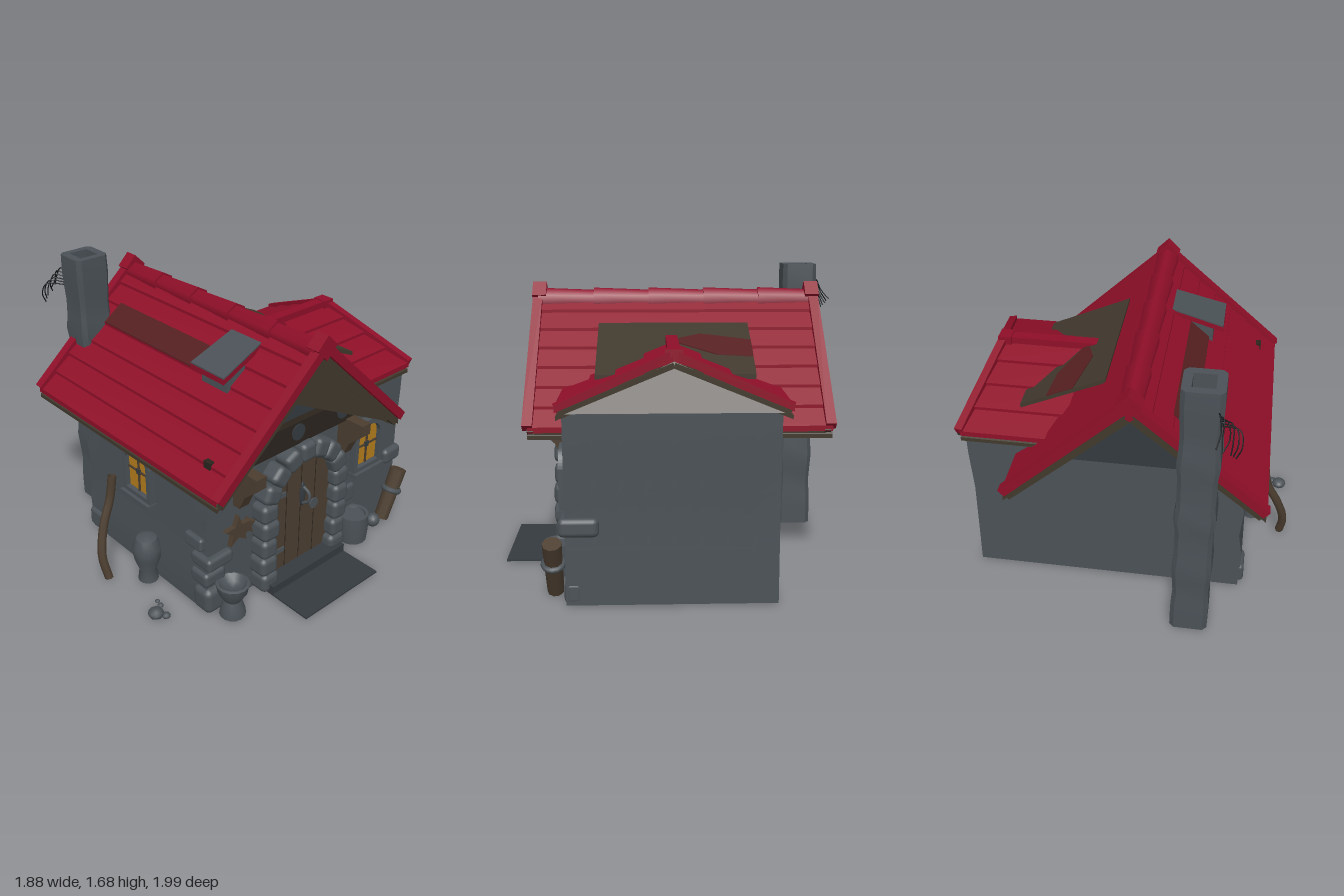
import * as THREE from 'three';
import { toCreasedNormals } from 'three/addons/utils/BufferGeometryUtils.js';
import { RoundedBoxGeometry } from 'three/addons/geometries/RoundedBoxGeometry.js';
import { ConvexGeometry } from 'three/addons/geometries/ConvexGeometry.js';

const V = (x, y, z) => new THREE.Vector3(x, y, z);
const P = (x, y) => new THREE.Vector2(x, y);

function material(name, color) {
  const m = new THREE.MeshStandardMaterial({ color, side: THREE.DoubleSide });
  m.name = name;
  return m;
}

export function createModel() {
  const model = new THREE.Group();
  model.name = 'cottage';
  const stone = material('stone grey', 0x4a5156);
  const darkStone = material('dark stone', 0x343a3f);
  const red = material('roof red', 0x8e0f28);
  const wood = material('brown wood', 0x4c3e30);
  const eaveWood = material('eave wood', 0x40382c);
  const darkWood = material('dark wood', 0x2a241d);
  const gold = material('window gold', 0xb47c1c);
  const stain = material('stained roof', 0x561f20);
  const black = material('twig black', 0x15181a);

  let seed = 7;
  const rnd = (a = 1) => {
    seed = (seed * 16807) % 2147483647;
    return (seed / 2147483647 - 0.5) * 2 * a;
  };
  const add = (name, geo, mat, x = 0, y = 0, z = 0, parent = model) => {
    const m = new THREE.Mesh(geo, mat);
    m.name = name;
    m.position.set(x, y, z);
    parent.add(m);
    return m;
  };
  const box = (name, mat, w, h, d, x, y, z, parent) => add(name, new THREE.BoxGeometry(w, h, d), mat, x, y, z, parent);
  const rock = (name, w, h, d, x, y, z, tilt = 0, mat = stone) => {
    const m = add(name, new RoundedBoxGeometry(w, h, d, 2, Math.min(w, h, d) * 0.28), mat, x, y, z);
    m.rotation.z = tilt;
    return m;
  };
  // square bar running between two points
  const bar = (name, mat, a, b, w, h) => {
    const m = add(name, new THREE.BoxGeometry(w, h, a.distanceTo(b)), mat);
    m.position.copy(a).add(b).multiplyScalar(0.5);
    m.lookAt(b);
    return m;
  };
  // slab hanging below four corners
  const slab = (name, mat, pts, t) =>
    add(name, new ConvexGeometry([...pts, ...pts.map((p) => V(p.x, p.y - t, p.z))]), mat);
  // overlapping planks between a ridge line a-b and an eave line c-d
  const planks = (name, a, b, c, d, n) => {
    for (let i = 0; i < n; i++) {
      const at = (p, q, k, lift, end) => {
        const v = p.clone().lerp(q, k);
        v.y += lift;
        return v.add(b.clone().sub(a).normalize().multiplyScalar(end));
      };
      const e0 = rnd(0.008), e1 = rnd(0.008), k0 = i / n, k1 = (i + 1.04) / n;
      slab(name, red, [at(a, c, k0, 0, e0), at(b, d, k0, 0, e1), at(b, d, k1, 0.018, e1), at(a, c, k1, 0.018, e0)], 0.03);
    }
    slab(name + 'Underside', eaveWood, [a, b, d, c].map((p) => V(p.x, p.y - 0.032, p.z)), 0.022);
  };
  const tube = (name, mat, pts, r, parent) =>
    add(name, new THREE.TubeGeometry(new THREE.CatmullRomCurve3(pts), 16, r, 7), mat, 0, 0, 0, parent);
  const extrude = (shape, depth, steps = 1) =>
    new THREE.ExtrudeGeometry(shape, { depth, steps, bevelEnabled: false, curveSegments: 12 });

  // walls with an uneven outline, running from back to front
  const wall = [P(-0.67, 0.008), P(0.91, 0.008), P(0.9, 0.3), P(0.89, 0.6), P(0.9, 0.85), P(0.9, 1.03), P(0.4, 1.03),
    P(-0.07, 1.44), P(-0.66, 0.9), P(-0.65, 0.75), P(-0.67, 0.6), P(-0.655, 0.42), P(-0.68, 0.25)];
  const wallGeo = extrude(new THREE.Shape(wall), 1.1, 8);
  add('walls', toCreasedNormals(wallGeo, 0.5), stone, 0, 0, -0.5);
  const floor = [P(-0.5, -0.3), P(-0.2, -0.42), P(0.55, -0.38), P(0.74, -0.1), P(0.68, 0.36), P(0.2, 0.48), P(-0.42, 0.42), P(-0.54, 0.1)];
  add('floorPatch', new THREE.ShapeGeometry(new THREE.Shape(floor)), wood, 0, 0.003, 0).rotation.x = Math.PI / 2;

  // gable panels and eave beam
  const gable = new THREE.Shape([P(-0.7, 0.89), P(0.56, 0.89), P(-0.07, 1.43)]);
  add('frontGable', extrude(gable, 0.008), darkStone, 0, 0, 0.602);
  add('backGable', extrude(gable, 0.008), darkStone, 0, 0, -0.51);
  box('eaveBeam', darkWood, 1.26, 0.14, 0.05, -0.06, 0.95, 0.63);
  for (const x of [-0.42, -0.06, 0.3]) {
    add('beamStud', new THREE.CylinderGeometry(0.05, 0.05, 0.01, 12), darkStone, x, 0.96, 0.656).rotation.x = Math.PI / 2;
  }
  const peak = new THREE.Shape([P(-0.31, 1.28), P(-0.07, 1.49), P(0.57, 0.89), P(0.5, 0.88), P(-0.27, 1.27)]);
  add('gableBoard', extrude(peak, 0.02), eaveWood, 0, 0, 0.79);

  // main roof
  const ridge = [V(-0.07, 1.52, 0.81), V(-0.07, 1.52, -0.81)];
  for (const [name, x, y, n] of [['leftRoofPlank', -0.78, 0.9, 7], ['rightRoofPlank', 0.62, 0.87, 7]]) {
    planks(name, ridge[0], ridge[1], V(x, y, 0.81), V(x, y, -0.81), n);
    for (const z of [0.81, -0.8]) {
      bar('roofTrim', red, V(-0.07, 1.53, z), V(x, y + 0.01, z), 0.055, 0.05);
      bar('bargeBoard', eaveWood, V(-0.07, 1.455, z * 0.98), V(x * 0.98, y - 0.03, z * 0.98), 0.035, 0.06);
    }
    box('eaveTimber', eaveWood, 0.04, 0.04, 1.55, x * 0.96, y - 0.03, 0);
  }
  for (let i = 0; i < 5; i++) {
    const z = 0.64 - i * 0.32;
    const cap = add('ridgeCap', new THREE.CylinderGeometry(0.075, 0.062, 0.33, 6), red, -0.07, 1.485, z);
    cap.rotation.x = Math.PI / 2;
  }
  for (const z of [0.8, -0.79]) {
    box('ridgeEnd', red, 0.1, 0.1, 0.08, -0.07, 1.525, z).rotation.z = Math.PI / 4;
  }

  // stained strip and small stone hood on the left slope
  slab('stainedStrip', stain, [V(-0.27, 1.372, 0.25), V(-0.27, 1.372, -0.64), V(-0.38, 1.275, -0.66), V(-0.38, 1.275, 0.25)], 0.008);
  slab('hoodBase', stone, [V(-0.17, 1.43, 0.26), V(-0.17, 1.43, 0.46), V(-0.4, 1.34, 0.46), V(-0.4, 1.34, 0.26)], 0.15);
  slab('hoodEdge', red, [V(-0.15, 1.45, 0.23), V(-0.15, 1.45, 0.46), V(-0.46, 1.35, 0.5), V(-0.46, 1.35, 0.24)], 0.03);
  slab('hoodTop', stone, [V(-0.15, 1.459, 0.23), V(-0.15, 1.459, 0.46), V(-0.46, 1.359, 0.5), V(-0.46, 1.359, 0.24)], 0.008);

  // cross roof over the right wing
  slab('bareRoofPatch', eaveWood, [V(0.12, 1.375, -0.4), V(0.12, 1.375, 0.45), V(0.6, 1.16, 0.45), V(0.6, 1.16, -0.4)], 0.025);
  slab('patchStain', stain, [V(0.3, 1.301, -0.4), V(0.24, 1.328, -0.12), V(0.3, 1.301, 0.05), V(0.43, 1.243, -0.2), V(0.45, 1.234, -0.4)], 0.006);
  add('wingGable', new ConvexGeometry([V(0.93, 1.025, 0.6), V(0.93, 1.025, -0.53), V(0.82, 1.265, 0.04),
    V(0.4, 1.025, 0.6), V(0.4, 1.025, -0.53), V(0.4, 1.23, 0.04)]), eaveWood);
  for (const z of [0.63, -0.55]) {
    planks('wingRoofPlank', V(0.2, 1.29, 0.04), V(0.81, 1.29, 0.04), V(0.4, 1.04, z), V(0.91, 1.04, z), 4);
    bar('wingTrim', red, V(0.79, 1.3, 0.04), V(0.915, 1.05, z), 0.045, 0.045);
    bar('wingBargeBoard', eaveWood, V(0.82, 1.24, 0.04), V(0.92, 1.02, z * 0.97), 0.03, 0.04);
  }
  bar('wingRidge', red, V(0.18, 1.3, 0.04), V(0.8, 1.3, 0.04), 0.065, 0.04);
  box('wingRidgeEnd', red, 0.075, 0.07, 0.09, 0.78, 1.29, 0.04);

  // hollow wobbly chimney
  const flue = new THREE.Shape([P(-0.11, -0.08), P(-0.085, -0.105), P(0.085, -0.105), P(0.11, -0.08),
    P(0.11, 0.08), P(0.085, 0.105), P(-0.085, 0.105), P(-0.11, 0.08)]);
  flue.holes.push(new THREE.Path([P(-0.06, -0.06), P(-0.06, 0.06), P(0.06, 0.06), P(0.06, -0.06)]));
  const flueGeo = extrude(flue, 1.67, 18).rotateX(-Math.PI / 2);
  const fp = flueGeo.attributes.position;
  for (let i = 0; i < fp.count; i++) {
    const y = fp.getY(i), k = 0.95 + 0.045 * Math.sin(y * 17) + 0.03 * Math.sin(y * 31 + 1);
    fp.setXYZ(i, fp.getX(i) * k - 0.01 * (y - 0.8), y, fp.getZ(i) * k);
  }
  add('chimney', toCreasedNormals(flueGeo, 0.6), stone, -0.415, 0.01, -0.77);
  box('chimneyInside', black, 0.13, 0.02, 0.13, -0.42, 1.55, -0.77);
  for (let i = 0; i < 6; i++) {
    const x = -0.5 - 0.02 * i, y = 1.56 - 0.015 * i;
    tube('twig', black, [V(-0.5, y, -0.85), V(x - 0.01, y + 0.02, -0.9 + rnd(0.01)),
      V(x - 0.02 + rnd(0.01), y - 0.05, -0.94), V(x + rnd(0.02), y - 0.11, -0.99 + 0.008 * i)], 0.0035);
  }

  // door with stone arch, step and mat
  const arch = new THREE.Shape();
  arch.moveTo(-0.24, 0.05).lineTo(0.24, 0.05).lineTo(0.24, 0.54).absarc(0, 0.54, 0.24, 0, Math.PI, false);
  add('door', extrude(arch, 0.04), wood, 0, 0, 0.6);
  for (let i = -1; i <= 1; i++) box('doorSeam', darkWood, 0.004, 0.66, 0.004, i * 0.115, 0.39, 0.64);
  for (const y of [0.2, 0.58]) box('hinge', stone, 0.11, 0.03, 0.008, -0.18, y, 0.644);
  add('doorPlate', new THREE.CylinderGeometry(0.035, 0.035, 0.008, 10), stone, 0.11, 0.41, 0.644).rotation.x = Math.PI / 2;
  add('handlePlate', new THREE.SphereGeometry(1, 10, 8), darkStone, 0.01, 0.52, 0.645).scale.set(0.022, 0.085, 0.012);
  tube('handle', stone, [V(0.01, 0.57, 0.65), V(0.015, 0.54, 0.69), V(0.015, 0.49, 0.69), V(0.01, 0.46, 0.65)], 0.01);
  for (let i = 0; i < 9; i++) {
    const a = (i / 8) * Math.PI;
    rock('archStone', 0.12, 0.115, 0.13, Math.cos(a) * 0.285, 0.54 + Math.sin(a) * 0.285, 0.64, a + rnd(0.08));
  }
  for (const s of [-1, 1]) {
    for (let i = 0; i < 4; i++) rock('jambStone', 0.12 + rnd(0.015), 0.12, 0.14, s * 0.285 + rnd(0.008), 0.07 + i * 0.118, 0.64, rnd(0.06));
  }
  box('doorStep', darkStone, 0.6, 0.055, 0.14, 0, 0.04, 0.67);
  box('doorMat', darkStone, 0.6, 0.01, 0.4, 0, 0.012, 0.8);

  // arched windows on the front and left walls
  const outline = (w, b, s, t) => {
    const o = new THREE.Shape();
    o.moveTo(-w, b).lineTo(w, b).lineTo(w, s).quadraticCurveTo(w * 0.8, t, 0, t).quadraticCurveTo(-w * 0.8, t, -w, s);
    return o;
  };
  for (const [x, y, z, turn] of [[0.585, 0.6, 0.6, 0], [-0.66, 0.66, 0.03, -Math.PI / 2]]) {
    const win = new THREE.Group();
    win.name = 'window';
    win.position.set(x, y, z);
    win.rotation.y = turn;
    model.add(win);
    const frame = outline(0.125, -0.17, 0.08, 0.19);
    frame.holes.push(outline(0.095, -0.12, 0.08, 0.155));
    add('windowFrame', extrude(frame, 0.045), stone, 0, 0, 0, win);
    add('windowPane', extrude(outline(0.1, -0.13, 0.08, 0.16), 0.008), gold, 0, 0, 0.008, win);
    box('windowBar', wood, 0.01, 0.27, 0.01, 0, 0.015, 0.02, win);
    box('windowBar', wood, 0.19, 0.01, 0.01, 0, 0.01, 0.02, win);
    box('windowClasp', darkStone, 0.03, 0.035, 0.012, 0, 0.01, 0.022, win);
    box('windowSill', stone, 0.26, 0.035, 0.07, 0, -0.165, 0.03, win);
  }

  // brackets under the eave
  for (const x of [-0.45, 0.37]) {
    const b = new THREE.Shape([P(0, 0.65), P(0.05, 0.65), P(0.09, 0.74), P(0.18, 0.82), P(0.18, 0.89), P(0, 0.89)]);
    add('eaveBracket', extrude(b, 0.07), wood, x + 0.035, 0, 0.6).rotation.y = -Math.PI / 2;
  }

  // star ornament
  const star = new THREE.Shape(Array.from({ length: 10 }, (_, i) => {
    const a = Math.PI / 2 + (i * Math.PI) / 5, r = i % 2 ? 0.042 : 0.1;
    return P(Math.cos(a) * r, Math.sin(a) * r);
  }));
  add('star', extrude(star, 0.03), wood, -0.475, 0.495, 0.61);
  add('smallStar', extrude(star, 0.03), wood, -0.39, 0.47, 0.6).scale.setScalar(0.65);

  // corner and wall stones
  for (const [x, y, z, w, h, d] of [[0.85, 0.425, 0.53, 0.15, 0.1, 0.21], [-0.6, 0.35, 0.56, 0.18, 0.08, 0.16],
    [-0.62, 0.24, 0.55, 0.15, 0.09, 0.14], [-0.6, 0.1, 0.57, 0.2, 0.16, 0.14], [0.43, 0.3, 0.58, 0.17, 0.12, 0.08],
    [0.86, 0.07, 0.56, 0.1, 0.12, 0.1], [-0.66, 0.1, -0.42, 0.08, 0.12, 0.16], [-0.66, 0.45, 0.5, 0.06, 0.08, 0.14]]) {
    rock('wallStone', w, h, d, x, y, z, rnd(0.05));
  }

  // urn, bowl and barrel
  const lathe = (name, pts, x, z) => add(name, toCreasedNormals(new THREE.LatheGeometry(pts.map((p) => P(...p)), 14), 0.7), stone, x, 0.01, z);
  lathe('urn', [[0, 0], [0.06, 0], [0.05, 0.07], [0.08, 0.16], [0.085, 0.23], [0.06, 0.29], [0, 0.31]], -0.73, 0.14);
  lathe('stoneBowl', [[0, 0], [0.075, 0], [0.07, 0.04], [0.05, 0.1], [0.085, 0.16], [0.095, 0.21], [0.08, 0.215], [0.05, 0.18], [0, 0.17]], -0.565, 0.69);
  lathe('barrel', [[0, 0], [0.09, 0], [0.097, 0.09], [0.093, 0.18], [0.075, 0.18], [0.07, 0.165], [0, 0.165]], 0.455, 0.67);
  add('ball', new THREE.IcosahedronGeometry(0.045, 2), stone, 0.64, 0.052, 0.68);

  // leaning log with a stone collar, bent stick and pebbles
  const log = new THREE.Group();
  log.name = 'leaningLog';
  log.position.set(0.805, 0.175, 0.67);
  log.rotation.z = -0.4;
  model.add(log);
  add('logBody', new THREE.CylinderGeometry(0.052, 0.045, 0.34, 9), wood, 0, 0, 0, log);
  add('logCollar', new THREE.TorusGeometry(0.05, 0.018, 7, 14), stone, 0, 0.03, 0, log).rotation.x = Math.PI / 2;
  tube('bentStick', wood, [V(-0.91, 0.02, 0), V(-0.92, 0.16, -0.04), V(-0.87, 0.33, -0.08), V(-0.8, 0.48, -0.1), V(-0.775, 0.62, -0.1)], 0.026);
  for (const [x, z, r] of [[-0.9, 0.43, 0.045], [-0.86, 0.47, 0.025], [-0.83, 0.38, 0.018], [-0.82, 0.34, 0.015]]) {
    add('pebble', new THREE.IcosahedronGeometry(r, 1), stone, x, r * 0.7, z).scale.y = 0.7;
  }
  return model;
}
